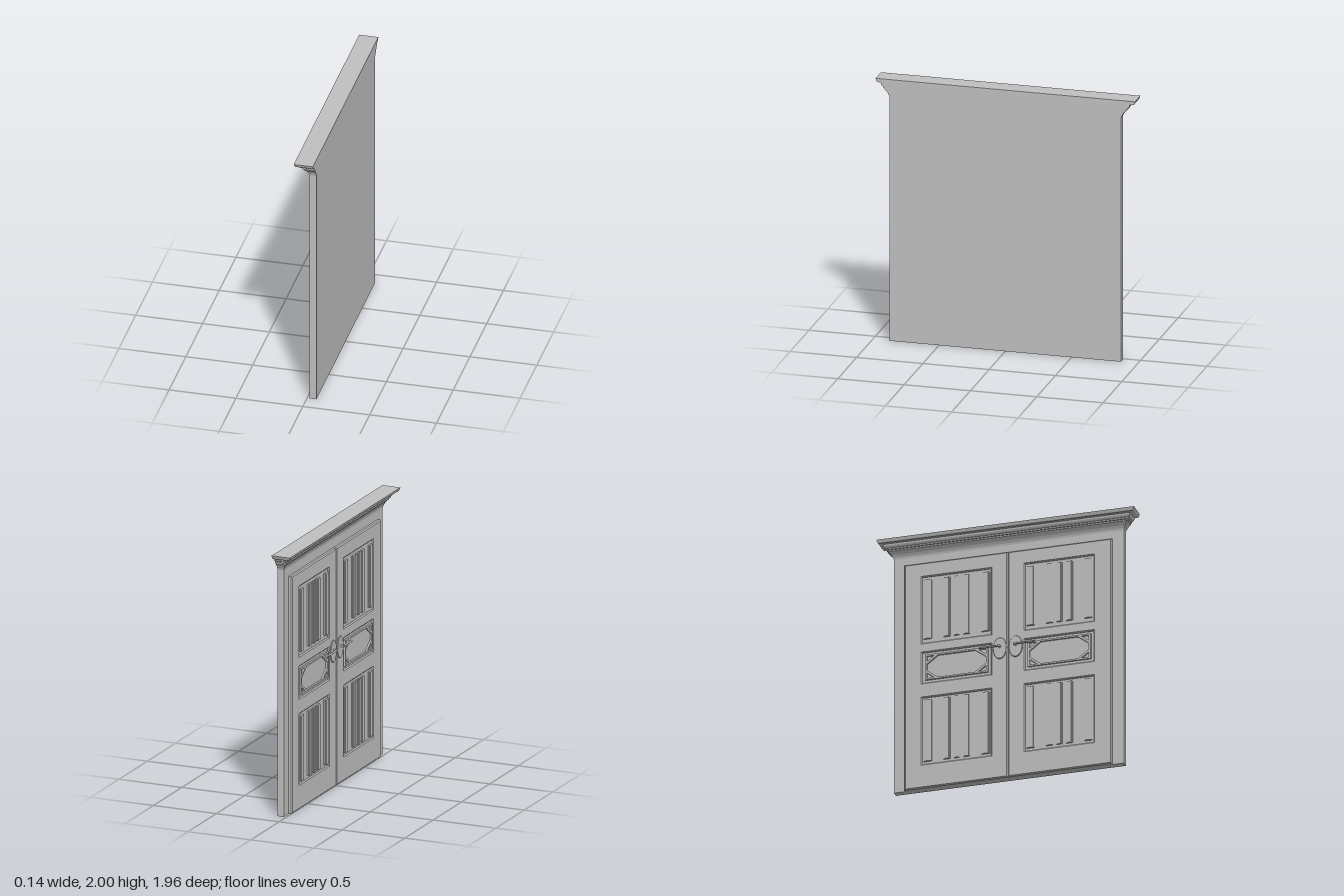
import * as THREE from 'three';

const grey = new THREE.MeshStandardMaterial({ color: 0xc0c0c0 });
grey.name = 'plain grey';

const WALL_FRONT = 0.02, WALL_BACK = 0.07, WALL_HALF = 0.873;
const LEAF_FRONT = -0.005, PANEL_MID = 0.39;

function add(parent, name, geometry) {
  const mesh = new THREE.Mesh(geometry, grey);
  mesh.name = name;
  parent.add(mesh);
  return mesh;
}

// Box given by its limits on each axis
function block(parent, name, x0, x1, y0, y1, z0, z1) {
  const m = add(parent, name, new THREE.BoxGeometry(x1 - x0, y1 - y0, z1 - z0));
  m.position.set((x0 + x1) / 2, (y0 + y1) / 2, (z0 + z1) / 2);
  return m;
}

function rect(z0, z1, y0, y1, Type = THREE.Shape) {
  return new Type([[z0, y0], [z1, y0], [z1, y1], [z0, y1]].map(p => new THREE.Vector2(...p)));
}

// Extrude a (z, y) outline from x = back towards the door face at x = front
function plate(parent, name, shape, back, front, bevel = 0) {
  const geo = new THREE.ExtrudeGeometry(shape, {
    depth: back - front - 2 * bevel, bevelEnabled: bevel > 0, bevelSize: bevel,
    bevelThickness: bevel, bevelOffset: -bevel, bevelSegments: 1, curveSegments: 10,
  });
  geo.rotateY(-Math.PI / 2);
  geo.translate(back - bevel, 0, 0);
  return add(parent, name, geo);
}

// Stepped crown moulding running round the front and both ends
function corniceGeometry() {
  const profile = [[0, 1.865], [0.004, 1.88], [0.014, 1.898], [0.028, 1.915], [0.038, 1.922],
    [0.038, 1.932], [0.048, 1.934], [0.048, 1.944], [0.058, 1.95], [0.064, 1.96],
    [0.066, 1.972], [0.09, 1.973], [0.097, 1.978], [0.105, 2]];
  const rings = profile.map(([d, y]) => {
    const x = WALL_FRONT - d * 0.89, z = WALL_HALF + d;
    return [[WALL_BACK, y, -z], [x, y, -z], [x, y, z], [WALL_BACK, y, z]];
  });
  const pos = [];
  const quad = (a, b, c, d) => pos.push(...a, ...b, ...c, ...a, ...c, ...d);
  for (let i = 0; i < rings.length - 1; i++) {
    const lo = rings[i], hi = rings[i + 1];
    for (let j = 0; j < 4; j++) {
      const k = (j + 1) % 4;
      quad(lo[j], lo[k], hi[k], hi[j]);
    }
  }
  quad(...rings[rings.length - 1]);
  const geo = new THREE.BufferGeometry();
  geo.setAttribute('position', new THREE.Float32BufferAttribute(pos, 3));
  geo.computeVertexNormals();
  return geo;
}

function buildLeaf(side) {
  const leaf = new THREE.Group();
  leaf.name = side > 0 ? 'leftDoorLeaf' : 'rightDoorLeaf';
  const mid = side * PANEL_MID;
  const span = (a, b) => (side > 0 ? [a, b] : [-b, -a]);

  // Frame with three chamfered openings
  const frame = rect(...span(0.002, 0.787), 0, 1.8);
  for (const [y0, y1] of [[0.19, 0.72], [0.84, 1.08], [1.16, 1.685]]) {
    frame.holes.push(rect(mid - 0.26, mid + 0.26, y0, y1, THREE.Path));
  }
  plate(leaf, 'leafFrame', frame, 0.028, LEAF_FRONT, 0.008);
  block(leaf, 'panelFloor', 0.006, 0.021, 0.15, 1.72, mid - 0.28, mid + 0.28);

  // Vertical slats in the tall panels
  for (const [y0, y1] of [[0.21, 0.7], [1.19, 1.66]]) {
    for (const [c, w] of [[-0.22, 0.045], [-0.075, 0.035], [0, 0.025], [0.075, 0.035], [0.22, 0.045]]) {
      block(leaf, 'slat', -0.011, 0.007, y0, y1, mid + c - w / 2, mid + c + w / 2);
      block(leaf, 'slatFillet', -0.003, 0.007, y0, y1, mid + c - w / 2 - 0.008, mid + c + w / 2 + 0.008);
    }
  }

  // Middle panel: rim with an elongated eight-sided opening and notched corners
  const rim = rect(mid - 0.24, mid + 0.24, 0.86, 1.06);
  const hole = [[-0.225, -0.025], [-0.14, -0.088], [0.14, -0.088], [0.225, -0.025],
    [0.225, 0.025], [0.14, 0.088], [-0.14, 0.088], [-0.225, 0.025]];
  rim.holes.push(new THREE.Path(hole.map(([z, y]) => new THREE.Vector2(mid + z, 0.96 + y))));
  for (const a of [-1, 1]) for (const b of [-1, 1]) {
    const notch = [[0.225, 0.045], [0.225, 0.088], [0.168, 0.088]];
    rim.holes.push(new THREE.Path(notch.map(([z, y]) => new THREE.Vector2(mid + a * z, 0.96 + b * y))));
  }
  plate(leaf, 'middlePanelRim', rim, 0.007, -0.008);

  // Oval handle plate, spindle and lever
  const oval = new THREE.Shape();
  oval.absellipse(side * 0.06, 1.035, 0.052, 0.085, 0, Math.PI * 2);
  plate(leaf, 'handlePlate', oval, 0, -0.012, 0.003);
  const spindle = add(leaf, 'handleSpindle', new THREE.CylinderGeometry(0.009, 0.009, 0.032, 12));
  spindle.rotation.z = Math.PI / 2;
  spindle.position.set(-0.025, 1.045, side * 0.06);
  const lever = add(leaf, 'handleLever', new THREE.CylinderGeometry(0.007, 0.007, 0.16, 12));
  lever.rotation.x = Math.PI / 2;
  lever.position.set(-0.034, 1.045, side * 0.13);
  return leaf;
}

export function createModel() {
  const model = new THREE.Group();
  model.name = 'doubleDoor';
  block(model, 'wallSlab', WALL_FRONT, WALL_BACK, 0, 1.865, -WALL_HALF, WALL_HALF);
  add(model, 'cornice', corniceGeometry());
  for (const side of [-1, 1]) model.add(buildLeaf(side));
  return model;
}
